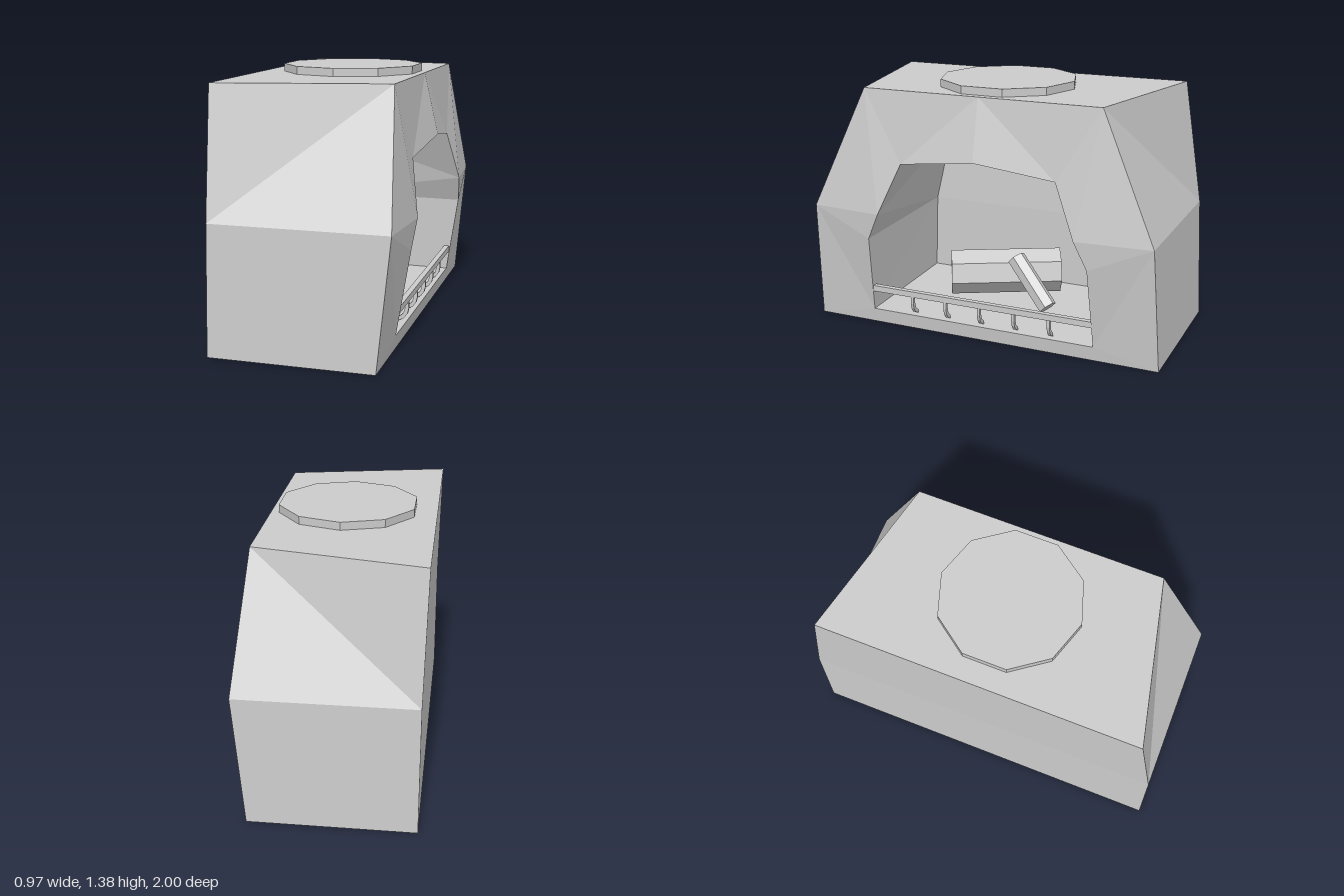
import * as THREE from 'three';

const material = new THREE.MeshStandardMaterial({ color: 0xcccccc, flatShading: true });

function mesh(name, geometry) {
  const m = new THREE.Mesh(geometry, material);
  m.name = name;
  return m;
}

// Faceted surface from polygons on the +z half, mirrored to the -z half
function mirroredSurface(faces) {
  const pos = [];
  for (const f of faces) {
    for (let i = 1; i < f.length - 1; i++) {
      const tri = [f[0], f[i], f[i + 1]];
      for (const [x, y, z] of tri) pos.push(x, y, z);
      for (const [x, y, z] of tri.reverse()) pos.push(x, y, -z);
    }
  }
  const g = new THREE.BufferGeometry();
  g.setAttribute('position', new THREE.Float32BufferAttribute(pos, 3));
  g.computeVertexNormals();
  return g;
}

// Prism log between two points
function log(name, from, to, radius, sides, spin) {
  const a = new THREE.Vector3(...from), b = new THREE.Vector3(...to);
  const dir = b.clone().sub(a);
  const g = new THREE.CylinderGeometry(radius, radius, dir.length(), sides);
  g.rotateY(spin);
  g.rotateX(Math.PI / 2); // axis along z
  const m = mesh(name, g);
  m.position.copy(a).add(b).multiplyScalar(0.5);
  m.lookAt(b);
  return m;
}

export function createModel() {
  const group = new THREE.Group();

  // Outer shell corners: bottom, middle, top; front and back; centre line at z = 0
  const mid = ([x, y]) => [x, y, 0];
  const f0 = [0.39, 0, 1], f1 = [0.455, 0.67, 0.97], f2 = [0.39, 1.34, 0.67];
  const k0 = [-0.47, 0, 1], k1 = [-0.47, 0.67, 0.97], k2 = [-0.485, 1.34, 0.86];

  // Rim of the opening and the back of the firebox
  const r0 = [0.4, 0.08, 0.65], r1 = [0.47, 0.52, 0.63], r2 = [0.485, 0.67, 0.56];
  const r3 = [0.43, 0.95, 0.44], r4 = [0.465, 1.01, 0];
  const b0 = [-0.4, 0.08, 0.67], b1 = [-0.4, 0.52, 0.655], b2 = [-0.42, 0.95, 0.56];

  group.add(mesh('hearthShell', mirroredSurface([
    [k0, f0, f1, k1], [k1, f1, f2, k2],                              // side
    [f2, mid(f2), mid(k2), k2],                                      // top
    [mid(k0), k0, k1, mid(k1)], [mid(k1), k1, k2, mid(k2)],          // back
    [f0, k0, mid(k0), mid(f0)],                                      // underside
    [f0, mid(f0), mid(r0), r0], [f0, r0, f1], [f1, r0, r1],          // face around opening
    [f1, r1, r2], [f1, r2, f2], [f2, r2, r3], [f2, r3, mid(f2)], [mid(f2), r3, r4],
  ])));

  group.add(mesh('firebox', mirroredSurface([
    [mid(r0), mid(b0), b0, r0],                                      // floor
    [r0, b0, b1, r1], [r1, b1, r2], [r2, b1, b2], [r2, b2, r3],      // side wall
    [r3, b2, mid(b2), r4],                                           // ceiling
    [b0, mid(b0), mid(b1), b1], [b1, mid(b1), mid(b2), b2],          // back wall
  ])));

  // Flue cap on top
  const cap = mesh('flueCap', new THREE.CylinderGeometry(0.375, 0.375, 0.05, 10));
  cap.position.set(-0.01, 1.357, 0);
  group.add(cap);

  // Grate: a rail with five curved bars
  const grate = new THREE.Group();
  grate.name = 'grate';
  const rail = mesh('rail', new THREE.BoxGeometry(0.03, 0.033, 1.29));
  rail.position.set(0.4, 0.208, 0);
  grate.add(rail);
  const hook = new THREE.Shape([
    [0.387, 0.2], [0.389, 0.15], [0.38, 0.12], [0.355, 0.1], [0.355, 0.08],
    [0.385, 0.095], [0.403, 0.12], [0.41, 0.15], [0.408, 0.2],
  ].map(([x, y]) => new THREE.Vector2(x, y)));
  const hookGeometry = new THREE.ExtrudeGeometry(hook, { depth: 0.016, bevelEnabled: false });
  for (let i = -2; i <= 2; i++) {
    const bar = mesh('grateBar', hookGeometry);
    bar.position.z = i * 0.202 - 0.008;
    grate.add(bar);
  }
  group.add(grate);

  // Logs: a thick one lying down and a thin one leaning on it
  group.add(log('thickLog', [-0.265, 0.22, -0.21], [0.025, 0.22, 0.35], 0.13, 7, Math.PI));
  group.add(log('thinLog', [0.03, 0.365, -0.06], [0.11, 0.13, -0.285], 0.052, 6, 0));

  return group;
}
